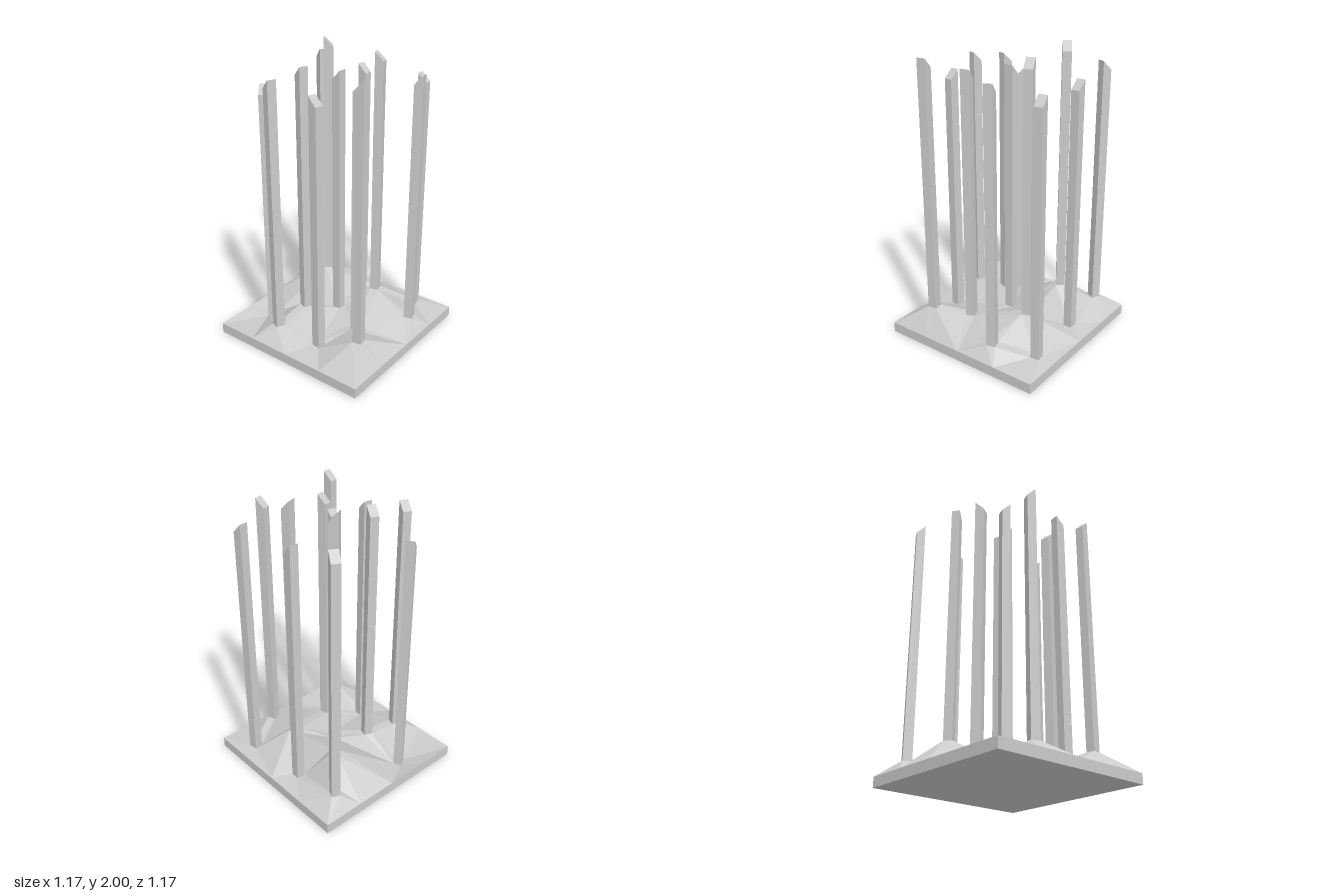
import * as THREE from 'three';

const HALF = 0.583, RIM = 0.07, SIDE = 0.06, LENGTH = 1.72;

// Posts: x, z, height of the upper edge, direction of the slanted cut (degrees from +x towards +z)
const POSTS = [
  [-0.46, -0.412, 1.87, 207], [-0.106, -0.432, 1.81, 2], [0.343, -0.464, 1.81, -8],
  [0.147, -0.248, 1.96, -20], [0.47, -0.202, 1.87, 161], [0.425, 0.336, 1.94, 172],
  [0.263, 0.139, 1.87, 164], [0.128, 0.38, 1.81, 7], [-0.182, 0.43, 1.87, 200],
  [-0.163, 0.161, 1.9, 200], [0, -0.007, 1.87, 180], [-0.268, -0.243, 2, -35],
  [-0.428, 0.226, 1.75, 58],
];

// Square post with a 45 degree cut: the top corners on local +x are lowered
function makePost([x, z, top, deg], material) {
  const geometry = new THREE.BoxGeometry(SIDE, LENGTH, SIDE).toNonIndexed();
  const p = geometry.attributes.position;
  for (let i = 0; i < p.count; i++) {
    if (p.getX(i) > 0 && p.getY(i) > 0) p.setY(i, LENGTH / 2 - SIDE);
  }
  geometry.computeVertexNormals();
  const post = new THREE.Mesh(geometry, material);
  post.position.set(x, top - LENGTH / 2, z);
  post.rotation.y = -THREE.MathUtils.degToRad(deg);
  return post;
}

// Footprint corners of a post at ground level
function footprint([x, z, top, deg]) {
  return [45, 135, 225, 315].map((a) => {
    const t = THREE.MathUtils.degToRad(deg + a), r = SIDE * Math.SQRT1_2;
    return new THREE.Vector3(x + r * Math.cos(t), top - LENGTH, z + r * Math.sin(t));
  });
}

const turn = (a, b, c) => (b.x - a.x) * (c.z - a.z) - (b.z - a.z) * (c.x - a.x);

// True when d lies inside the circle through a, b and c, seen from above
function inCircle([a, b, c], d) {
  const [p, q, r] = [a, b, c].map((v) => [v.x - d.x, v.z - d.z, (v.x - d.x) ** 2 + (v.z - d.z) ** 2]);
  const det = p[0] * (q[1] * r[2] - q[2] * r[1])
    - p[1] * (q[0] * r[2] - q[2] * r[0]) + p[2] * (q[0] * r[1] - q[1] * r[0]);
  return det * Math.sign(turn(a, b, c)) > 1e-10;
}

// Incremental Delaunay triangulation in the ground plane
function triangulate(points) {
  const outer = [[-90, -70], [95, -80], [3, 110]].map(([x, z]) => new THREE.Vector3(x, 0, z));
  let triangles = [outer];
  for (const point of points) {
    const bad = triangles.filter((t) => inCircle(t, point));
    triangles = triangles.filter((t) => !bad.includes(t));
    for (const t of bad) {
      for (let i = 0; i < 3; i++) {
        const a = t[i], b = t[(i + 1) % 3];
        const shared = bad.some((o) => o !== t && o.includes(a) && o.includes(b));
        if (!shared && Math.abs(turn(a, b, point)) > 1e-9) triangles.push([a, b, point]);
      }
    }
  }
  return triangles.filter((t) => !t.some((v) => outer.includes(v)));
}

// Swap the diagonal of the two triangles that share the edge a-b
function flipEdge(triangles, a, b) {
  const pair = triangles.filter((t) => t.includes(a) && t.includes(b));
  if (pair.length !== 2) return triangles;
  const [c, d] = pair.map((t) => t.find((v) => v !== a && v !== b));
  if (turn(c, d, a) * turn(c, d, b) >= 0) return triangles;
  return [...triangles.filter((t) => !pair.includes(t)), [a, c, d], [b, c, d]];
}

function makeTerrain(material) {
  const feet = POSTS.map(footprint);
  const points = feet.flat();
  // Rim points, four per side
  for (let i = 0; i < 4; i++) {
    const s = -HALF + (i * HALF) / 2;
    for (const [x, z] of [[s, -HALF], [HALF, s], [-s, HALF], [-HALF, -s]]) {
      points.push(new THREE.Vector3(x, RIM, z));
    }
  }
  let triangles = triangulate(points);
  // Keep the broad slope beside the tallest post in one piece
  for (const a of feet[11]) for (const b of feet[9]) triangles = flipEdge(triangles, a, b);
  const faces = triangles.flatMap(([a, b, c]) => (turn(a, b, c) > 0 ? [a, c, b] : [a, b, c]));
  const geometry = new THREE.BufferGeometry().setFromPoints(faces);
  geometry.computeVertexNormals();
  return new THREE.Mesh(geometry, material);
}

export function createModel() {
  const model = new THREE.Group();
  const material = new THREE.MeshStandardMaterial({ color: 0xcccccc, flatShading: true });
  const add = (mesh, name, parent = model) => {
    mesh.name = name;
    parent.add(mesh);
    return mesh;
  };

  // Open square rim, underside and faceted ground
  const r = HALF * Math.SQRT2;
  const rim = add(new THREE.Mesh(new THREE.CylinderGeometry(r, r, RIM, 4, 1, true), material), 'baseRim');
  rim.rotation.y = Math.PI / 4;
  rim.position.y = RIM / 2;
  const under = add(new THREE.Mesh(new THREE.PlaneGeometry(2 * HALF, 2 * HALF), material), 'baseUnderside');
  under.rotation.x = Math.PI / 2;
  add(makeTerrain(material), 'terrain');

  // Tall posts
  const posts = add(new THREE.Group(), 'posts');
  POSTS.forEach((spec, i) => add(makePost(spec, material), `post${i + 1}`, posts));
  return model;
}
